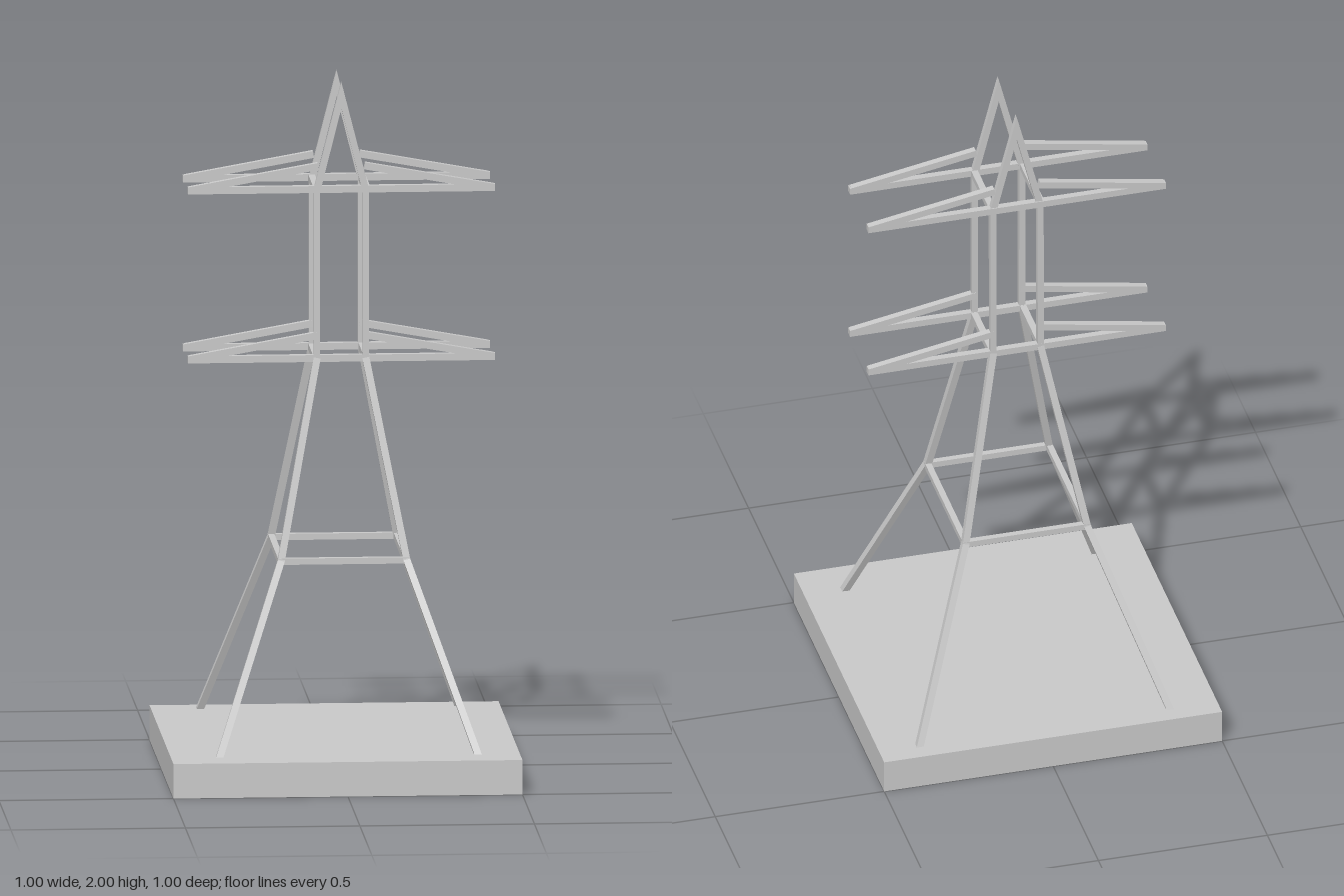
import * as THREE from 'three';

export function createModel() {
  const model = new THREE.Group();
  const material = new THREE.MeshStandardMaterial({ color: 0xcccccc, flatShading: true });
  const T = 0.02; // strut thickness

  const add = (name, geometry, parent) => {
    const mesh = new THREE.Mesh(geometry, material);
    mesh.name = name;
    parent.add(mesh);
    return mesh;
  };

  // Square strut between two points
  const strut = (name, a, b, parent, t = T) => {
    const from = new THREE.Vector3(...a), to = new THREE.Vector3(...b);
    const dir = to.clone().sub(from);
    const mesh = add(name, new THREE.BoxGeometry(t, dir.length(), t), parent);
    mesh.position.copy(from).add(to).multiplyScalar(0.5);
    mesh.quaternion.setFromUnitVectors(new THREE.Vector3(0, 1, 0), dir.normalize());
    return mesh;
  };

  // Foundation slab
  add('foundation', new THREE.BoxGeometry(1, 0.1, 1), model).position.y = 0.05;

  // The tower stands slightly off the middle of the slab
  const tower = new THREE.Group();
  tower.name = 'tower';
  tower.position.set(0.01, 0, -0.027);
  model.add(tower);

  // Half width, height and half depth at each level
  const foot = [0.373, 0.09, 0.417], waist = [0.18, 0.63, 0.21];
  const shoulder = [0.07, 1.2, 0.103], top = [0.07, 1.7, 0.101];
  const corner = ([x, y, z], sx, sz) => [x * sx, y, z * sz];

  // Four corner legs, each in three lengths
  for (const sx of [-1, 1]) for (const sz of [-1, 1]) {
    strut('lowerLeg', corner(foot, sx, sz), corner(waist, sx, sz), tower);
    strut('upperLeg', corner(waist, sx, sz), corner(shoulder, sx, sz), tower);
    strut('upright', corner(shoulder, sx, sz), corner(top, sx, sz), tower, 0.018);
  }

  // Horizontal ring at the waist, and side ties at the cross-arm levels
  for (const s of [-1, 1]) {
    strut('waistBeam', [-0.189, 0.63, s * 0.21], [0.189, 0.63, s * 0.21], tower, 0.018);
    strut('waistTie', [s * 0.18, 0.63, -0.215], [s * 0.18, 0.63, 0.215], tower, 0.018);
    for (const y of [1.2, 1.69])
      strut('sideTie', [s * 0.072, y, -0.112], [s * 0.072, y, 0.112], tower, 0.019);
  }

  // Cross-arms with sloping braces, front and back
  for (const z of [-0.102, 0.102]) for (const y of [1.2, 1.69]) {
    strut('crossArm', [-0.44, y, z], [0.44, y, z], tower);
    for (const s of [-1, 1])
      strut('armBrace', [s * 0.435, y + 0.001, z], [s * 0.066, y + 0.067, z], tower);
  }

  // Pointed peak frames
  const outline = [[-0.079, 1.69], [-0.059, 1.69], [0, 1.925], [0.059, 1.69], [0.079, 1.69], [0, 2]];
  const shape = new THREE.Shape(outline.map(([x, y]) => new THREE.Vector2(x, y)));
  for (const z of [-0.1, 0.1]) {
    const peak = add('peak', new THREE.ExtrudeGeometry(shape, { depth: 0.017, bevelEnabled: false }), tower);
    peak.position.z = z - 0.0085;
  }

  return model;
}
